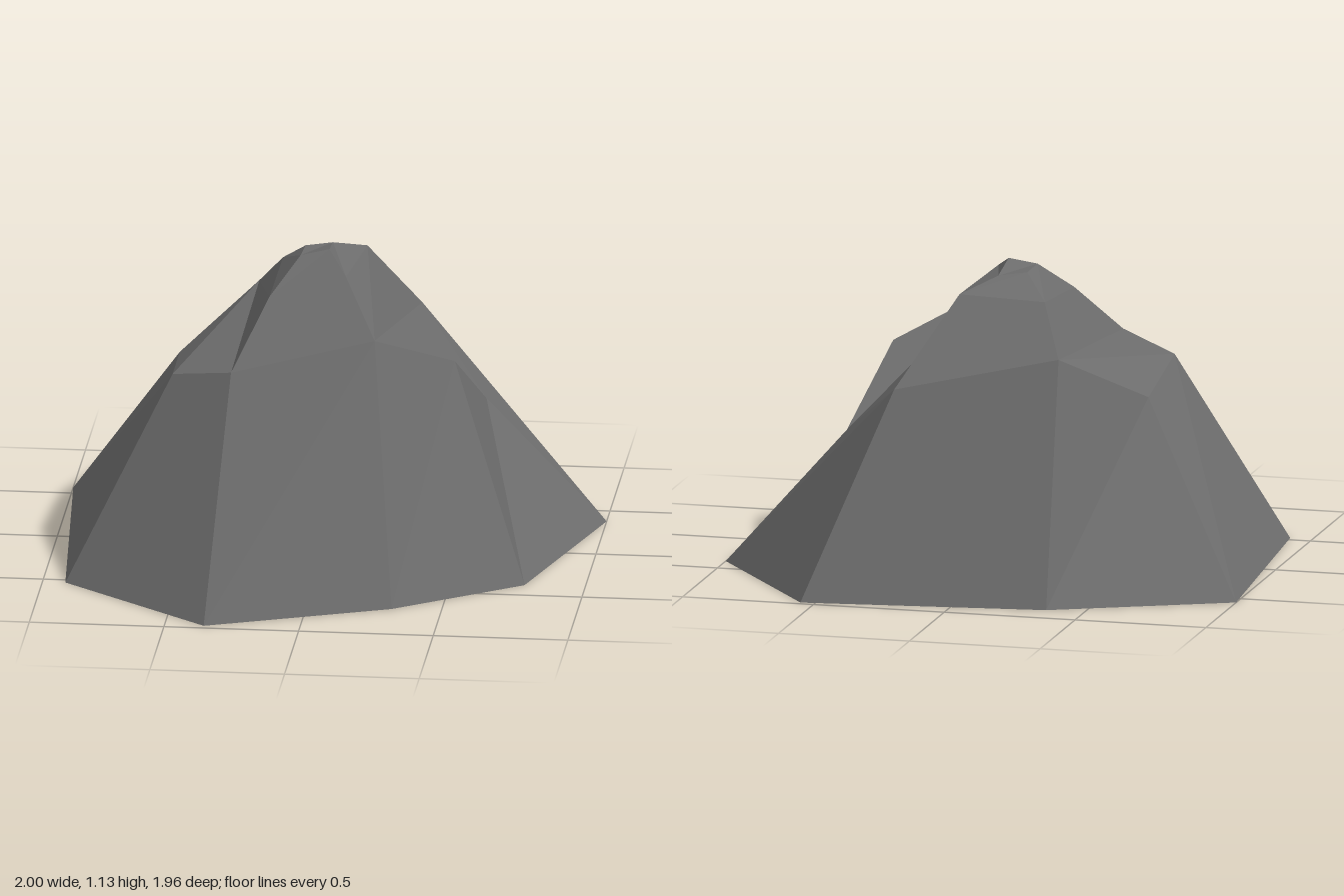
import * as THREE from 'three';

// Cross-sections of the rock, bottom to top, each going round the same way
const base = [
  [-1, 0, -0.565], [-0.355, 0, -0.87], [0.555, 0, -0.98], [1, 0, -0.38],
  [0.775, 0, 0.385], [0.315, 0, 0.71], [-0.355, 0, 0.975], [-0.915, 0, 0.53],
];
const waist = [
  [-0.565, 0.67, -0.19], [-0.3, 0.86, -0.485], [0.29, 0.745, -0.63], [0.565, 0.5, -0.275],
  [0.485, 0.765, 0.09], [0.21, 0.905, 0.305], [-0.315, 0.79, 0.385], [-0.545, 0.735, 0.26],
];
const shoulder = [
  [-0.19, 1.025, -0.27], [0.115, 1.055, -0.35], [0.08, 1.075, 0.08], [-0.2, 1.0, 0.115],
];
const peak = [
  [-0.095, 1.11, -0.165], [0, 1.105, -0.225], [0.005, 1.135, -0.055], [-0.1, 1.115, -0.035],
];

// Fan of triangles over one flat facet
function facet(out, ...p) {
  for (let i = 1; i < p.length - 1; i++) out.push(...p[0], ...p[i], ...p[i + 1]);
}

// Band of facets between two matching rings
function band(out, low, high) {
  low.forEach((_, i) => {
    const j = (i + 1) % low.length;
    facet(out, low[j], low[i], high[i], high[j]);
  });
}

function part(name, positions, material) {
  const geometry = new THREE.BufferGeometry();
  geometry.setAttribute('position', new THREE.Float32BufferAttribute(positions, 3));
  geometry.computeVertexNormals();
  const mesh = new THREE.Mesh(geometry, material);
  mesh.name = name;
  return mesh;
}

export function createModel() {
  const stone = new THREE.MeshStandardMaterial({ color: 0x6c6c6c });
  stone.name = 'grey stone';
  const group = new THREE.Group();
  group.name = 'rock';

  // Sloping lower sides and the flat underside
  const lower = [];
  band(lower, base, waist);
  facet(lower, ...base);
  group.add(part('lowerSlopes', lower, stone));

  // Ledges on either side of the ridge
  const [a, b, c, d, e, f, g, h] = waist;
  const ledges = [];
  facet(ledges, b, a, h, g);
  facet(ledges, f, e, d, c);
  group.add(part('sideLedges', ledges, stone));

  // Ridge narrowing to the small summit
  const ridge = [];
  band(ridge, [b, c, f, g], shoulder);
  band(ridge, shoulder, peak);
  facet(ridge, ...[...peak].reverse());
  group.add(part('summitRidge', ridge, stone));

  return group;
}
